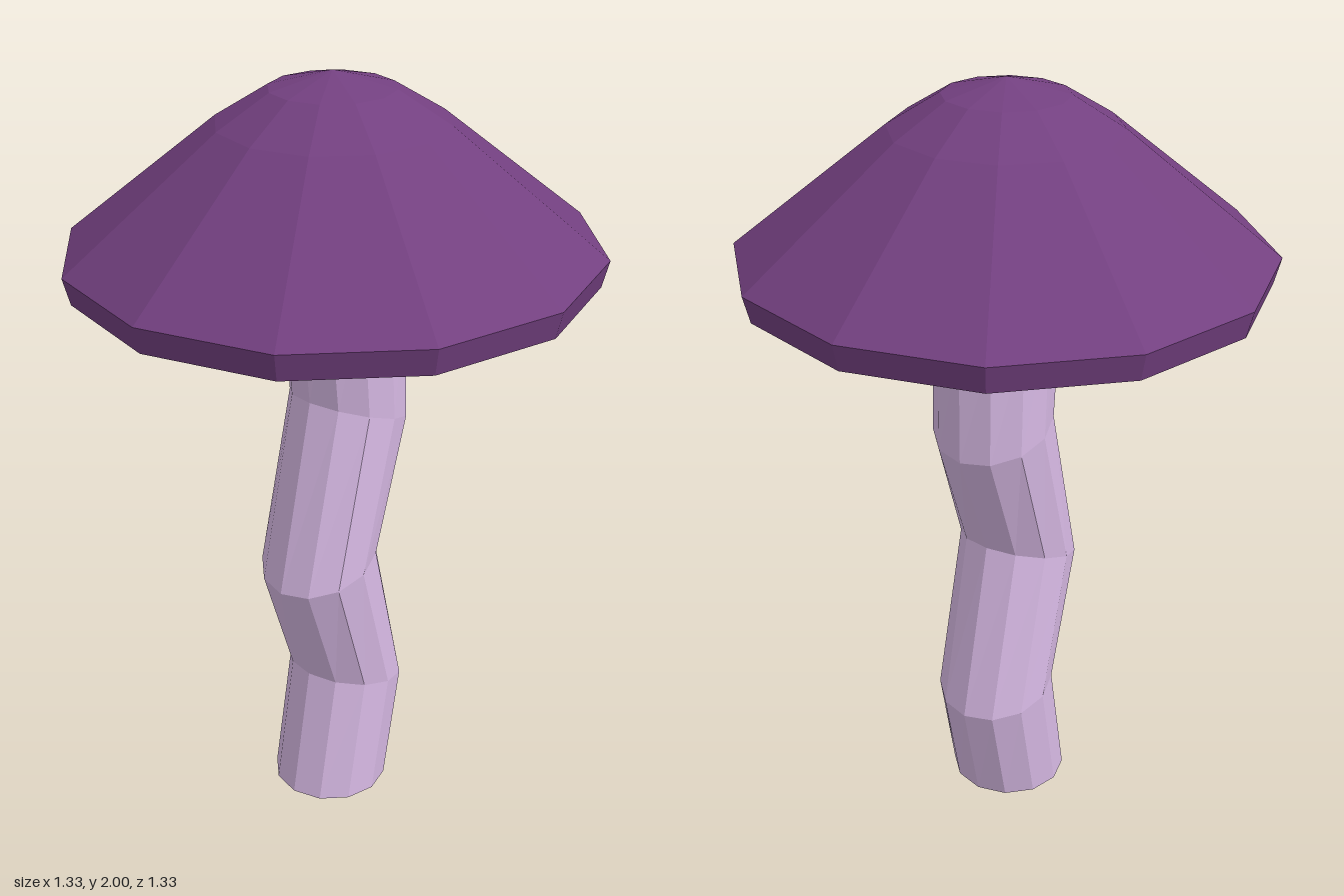
import * as THREE from 'three';

const SIDES = 12;

function flatMaterial(name, color) {
  const material = new THREE.MeshStandardMaterial({ color, flatShading: true });
  material.name = name;
  return material;
}

// Faceted surface of revolution; points run upwards for an outer skin, downwards for an inner one
function lathe(name, profile, material) {
  const points = profile.map(([r, y]) => new THREE.Vector2(r, y));
  const mesh = new THREE.Mesh(new THREE.LatheGeometry(points, SIDES), material);
  mesh.name = name;
  return mesh;
}

// Crooked stem: each ring of a cylinder is moved and tilted
function createStem(material) {
  // [centre y, centre z, half depth, rise from centre to front]
  const rings = [
    [0, 0.015, 0.154, 0],
    [0.327, -0.05, 0.152, 0.035],
    [0.72, 0.06, 0.15, -0.05],
    [1.127, -0.057, 0.148, 0.05],
    [1.455, -0.036, 0.166, 0.07],
    [1.89, 0.0, 0.155, 0],
  ];
  const last = rings.length - 1;
  const geometry = new THREE.CylinderGeometry(1, 1, last, SIDES, last);
  const p = geometry.attributes.position;
  for (let i = 0; i < p.count; i++) {
    const [y, z, depth, rise] = rings[Math.round(p.getY(i) + last / 2)];
    const front = p.getZ(i);
    p.setXYZ(i, p.getX(i) * 0.155, y + front * rise, z + front * depth);
  }
  geometry.computeVertexNormals();
  const stem = new THREE.Mesh(geometry, material);
  stem.name = 'stem';
  return stem;
}

export function createModel() {
  const purple = flatMaterial('cap purple', 0x734080);
  const lilac = flatMaterial('stem lilac', 0xd6b8e3);
  const grey = flatMaterial('underside grey', 0xcccccc);

  const model = new THREE.Group();
  model.name = 'mushroom';
  model.add(createStem(lilac));

  // Cap, tipped very slightly forward; heights are relative to its widest ring
  const cap = new THREE.Group();
  cap.name = 'cap';
  cap.position.y = 1.573;
  cap.rotation.x = 0.008;
  cap.add(
    lathe('capTop', [[0.65, -0.068], [0.667, 0], [0.285, 0.307], [0.155, 0.387], [0, 0.427]], purple),
    lathe('capUnderside', [[0, 0.4], [0.2, 0.325], [0.65, -0.068]], grey),
  );
  model.add(cap);
  return model;
}
